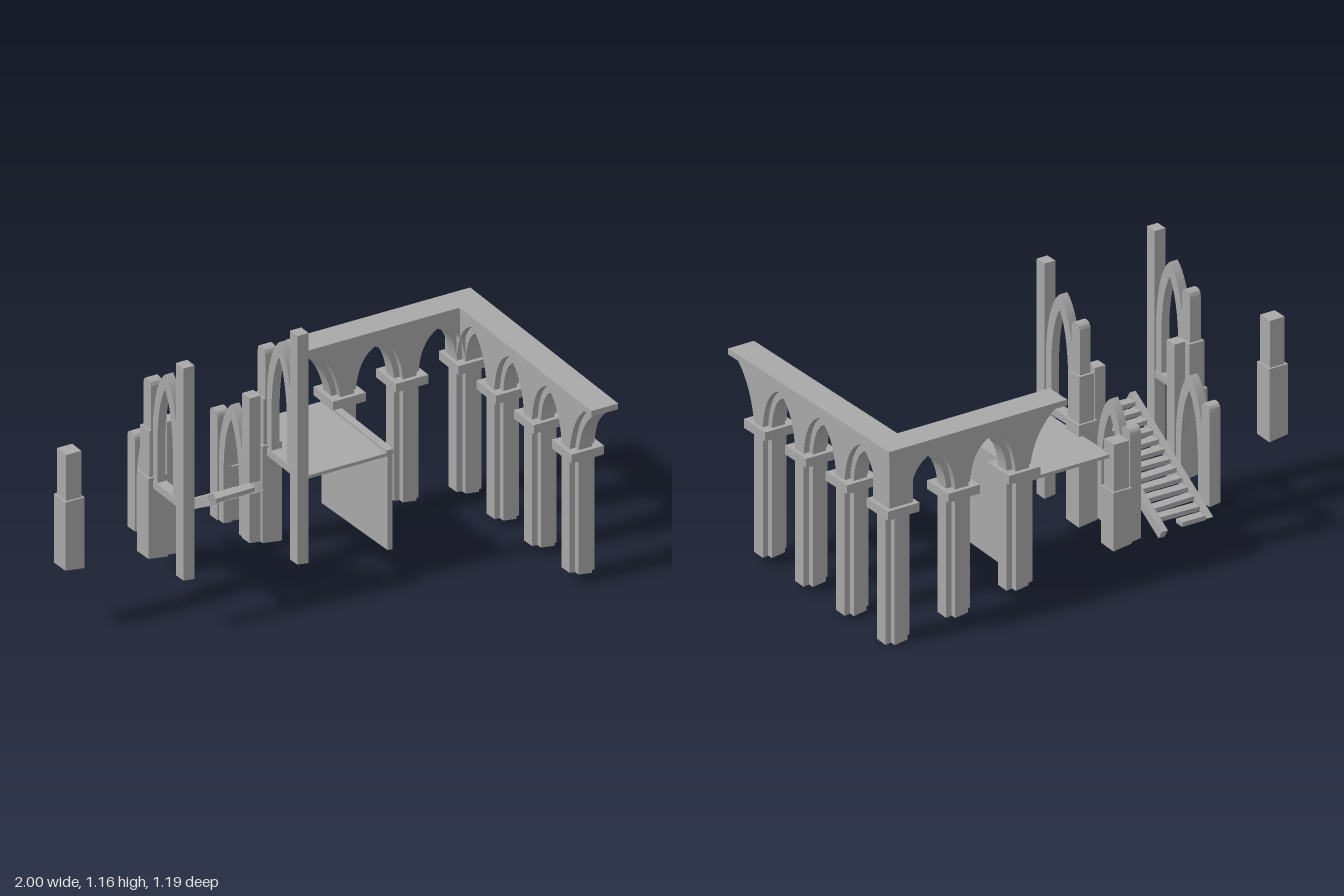
import * as THREE from 'three';
import { toCreasedNormals } from 'three/addons/utils/BufferGeometryUtils.js';

const stone = new THREE.MeshStandardMaterial({ color: 0xa8a8a8 });
stone.name = 'grey stone';

// Sloping ground that every upright is cut to
const ground = (x, z) => Math.max(0, 0.14 * (0.98 - x) + 0.04 * (z + 0.5));
const BURIED = -1;

// Move buried vertices up to the ground slope
function settle(geo) {
  const p = geo.attributes.position;
  for (let i = 0; i < p.count; i++) {
    if (p.getY(i) < -0.5) p.setY(i, ground(p.getX(i), p.getZ(i)));
  }
  geo.computeVertexNormals();
  return geo;
}

function add(parent, name, geo) {
  const mesh = new THREE.Mesh(geo, stone);
  mesh.name = name;
  parent.add(mesh);
  return mesh;
}

function block(parent, name, x, z, w, d, y0, y1) {
  const geo = new THREE.BoxGeometry(w, y1 - y0, d).translate(x, (y0 + y1) / 2, z);
  return add(parent, name, y0 === BURIED ? settle(geo) : geo);
}

// Slab cut from a side profile, centred on its thickness
function slab(shape, depth) {
  return new THREE.ExtrudeGeometry(shape, { depth, bevelEnabled: false, curveSegments: 10 })
    .translate(0, 0, -depth / 2);
}

// Up and over one pointed arch, from (c - w, y0) to (c + w, y0)
function pointedArch(path, c, w, y0, apex) {
  const k = y0 + (apex - y0) * 0.78;
  path.quadraticCurveTo(c - w * 0.88, k, c, apex);
  path.quadraticCurveTo(c + w * 0.88, k, c + w, y0);
}

const BAY = 0.28, SPRING = 0.59, CORNICE = 0.81, CX = 0.93, CZ = -0.44;

// Arcade wall layer: e is half the column width, reach the flare past the last column
function arcadeShape(bays, e, apex, reach) {
  const s = new THREE.Shape();
  const end = bays * BAY;
  s.moveTo(-0.055, SPRING);
  for (let i = 0; i < bays; i++) {
    s.lineTo(i * BAY + e, SPRING);
    pointedArch(s, (i + 0.5) * BAY, BAY / 2 - e, SPRING, apex);
  }
  s.lineTo(end + e, SPRING);
  s.quadraticCurveTo(end + e + 0.025, 0.74, end + reach, CORNICE);
  s.lineTo(-0.055, CORNICE);
  s.closePath();
  return s;
}

function arcadeArm(parent, bays, angle) {
  [[0.03, 0.787, 0.145, 0.11, 'arcadeWall'], [0.055, 0.752, 0.195, 0.06, 'arcadeRib']].forEach(
    ([e, apex, reach, depth, name]) => {
      const geo = toCreasedNormals(slab(arcadeShape(bays, e, apex, reach), depth), 0.5);
      add(parent, name, geo.rotateY(angle).translate(CX, 0, CZ));
    });
}

// L-shaped outline around the arcade; inset shrinks it
function cornicePath(path, inset) {
  const h = 0.06 - inset, xEnd = 0.165 + inset, zEnd = 0.6 - inset;
  const pts = [[xEnd, CZ - h], [CX + h, CZ - h], [CX + h, zEnd],
    [CX - h, zEnd], [CX - h, CZ + h], [xEnd, CZ + h]];
  path.setFromPoints(pts.map(([x, z]) => new THREE.Vector2(x, -z)));
  return path;
}

function corniceLayer(parent, name, y, thick, hollow) {
  const shape = cornicePath(new THREE.Shape(), 0);
  if (hollow) shape.holes.push(cornicePath(new THREE.Path(), 0.026));
  const geo = new THREE.ExtrudeGeometry(shape, { depth: thick, bevelEnabled: false });
  add(parent, name, geo.rotateX(-Math.PI / 2).translate(0, y, 0));
}

function arcade() {
  const g = new THREE.Group();
  g.name = 'arcade';
  arcadeArm(g, 2, Math.PI);
  arcadeArm(g, 3, -Math.PI / 2);
  const spots = [[CX, CZ]];
  for (let i = 1; i <= 2; i++) spots.push([CX - i * BAY, CZ]);
  for (let i = 1; i <= 3; i++) spots.push([CX, CZ + i * BAY]);
  for (const [x, z] of spots) {
    // Cross-shaped column with a square capital
    block(g, 'columnShaft', x, z, 0.11, 0.06, BURIED, 0.56);
    block(g, 'columnShaft', x, z, 0.06, 0.11, BURIED, 0.56);
    block(g, 'capital', x, z, 0.146, 0.146, 0.552, SPRING);
  }
  corniceLayer(g, 'cornice', CORNICE, 0.012, false);
  corniceLayer(g, 'corniceRim', CORNICE + 0.012, 0.013, true);
  return g;
}

// Two-stage square pier
function pier(parent, x, z, dy = 0) {
  block(parent, 'pierBase', x, z, 0.086, 0.086, BURIED, 0.585 + dy);
  block(parent, 'pierTop', x, z, 0.068, 0.068, 0.585 + dy, 0.785 + dy);
}

// Tall post, pointed arch and round-topped post in a row running to the back
function buttress(x, z, dy, withPier) {
  const g = new THREE.Group();
  g.name = 'archedButtress';
  const place = (geo) => geo.rotateY(Math.PI / 2).translate(x, 0, z);
  block(g, 'tallPost', x, z, 0.05, 0.054, BURIED, 1.165 + dy);

  const arch = new THREE.Shape();
  const c = 0.12, foot = withPier ? 0.55 : BURIED, y = 0.77 + dy;
  arch.moveTo(c - 0.095, foot);
  arch.lineTo(c - 0.095, y);
  pointedArch(arch, c, 0.095, y, 1.07 + dy);
  arch.lineTo(c + 0.095, foot);
  arch.lineTo(c + 0.057, foot);
  arch.lineTo(c + 0.057, y);
  arch.quadraticCurveTo(c + 0.05, y + 0.16, c, 1.005 + dy);
  arch.quadraticCurveTo(c - 0.05, y + 0.16, c - 0.057, y);
  arch.lineTo(c - 0.057, foot);
  arch.closePath();
  add(g, 'pointedArch', toCreasedNormals(settle(place(slab(arch, 0.036))), 0.5));

  const post = new THREE.Shape();
  const r = 0.028, top = 1.0 + dy;
  post.moveTo(0.24 - r, BURIED);
  post.lineTo(0.24 - r, top - 0.03);
  post.quadraticCurveTo(0.24 - r, top, 0.24, top);
  post.quadraticCurveTo(0.24 + r, top, 0.24 + r, top - 0.03);
  post.lineTo(0.24 + r, BURIED);
  post.closePath();
  add(g, 'roundedPost', toCreasedNormals(settle(place(slab(post, 0.05))), 0.5));

  if (withPier) {
    block(g, 'sill', x, z - c, 0.045, 0.19, 0.54, 0.572);
    pier(g, x, z - 0.245);
  }
  return g;
}

// Worn wooden stair falling towards the back
function stairs() {
  const g = new THREE.Group();
  g.name = 'stairs';
  const z0 = -0.575, z1 = -0.055, y0 = 0.19, y1 = 0.508;
  const angle = Math.atan2(y1 - y0, z1 - z0);
  for (const x of [-0.435, -0.225]) {
    const geo = new THREE.BoxGeometry(0.028, 0.042, Math.hypot(z1 - z0, y1 - y0) + 0.012)
      .rotateX(-angle).translate(x, (y0 + y1) / 2, (z0 + z1) / 2);
    const p = geo.attributes.position;
    for (let i = 0; i < p.count; i++) p.setY(i, Math.max(p.getY(i), ground(x, p.getZ(i))));
    geo.computeVertexNormals();
    add(g, 'stringer', geo);
  }
  const count = 13;
  for (let i = 0; i < count; i++) {
    const t = (i + 0.4) / count;
    const width = i === 0 ? 0.11 : 0.186; // the lowest tread is broken off
    const geo = new THREE.BoxGeometry(width, 0.019, 0.043)
      .rotateZ(0.02 * Math.sin(i * 2.3))
      .translate(-0.423 + width / 2, y0 + (y1 - y0) * t + 0.004, z0 + (z1 - z0) * t);
    add(g, 'tread', geo);
  }
  return g;
}

// Raised floor with its supporting side wall
function platform() {
  const g = new THREE.Group();
  g.name = 'platform';
  block(g, 'floor', 0.135, -0.235, 0.37, 0.49, 0.522, 0.536);
  block(g, 'sideWall', 0.324, -0.235, 0.022, 0.49, BURIED, 0.53);
  block(g, 'floorEdge', 0.324, -0.235, 0.032, 0.49, 0.525, 0.547);
  return g;
}

export function createModel() {
  const model = new THREE.Group();
  model.name = 'ruinedCloister';
  model.add(arcade(), platform(), stairs());
  for (const x of [-0.585, -0.075]) model.add(buttress(x, 0, 0, true));
  for (const x of [-0.51, -0.142]) model.add(buttress(x, -0.245, -0.365, false));
  const piers = new THREE.Group();
  piers.name = 'loosePiers';
  pier(piers, -0.957, -0.245);
  pier(piers, -0.078, -0.478, -0.195);
  model.add(piers);
  return model;
}
